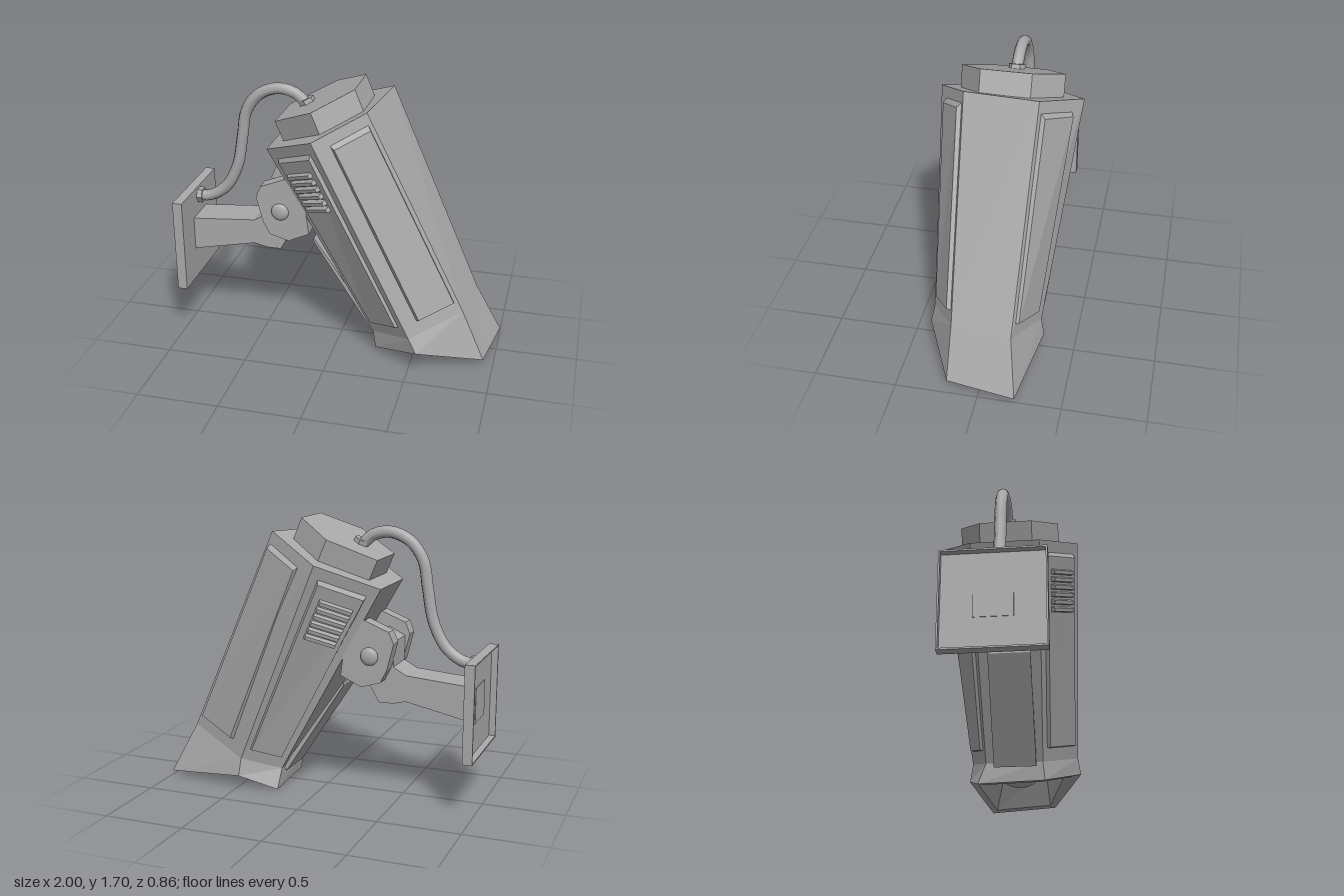
import * as THREE from 'three';

const grey = new THREE.MeshStandardMaterial({ color: 0xaaaaaa });
const V = (p) => new THREE.Vector3(...p);

function mesh(name, geometry, parent) {
  const m = new THREE.Mesh(geometry, grey);
  m.name = name;
  parent.add(m);
  return m;
}

// Flat-shaded skin through rings of points, closed at both ends
function loft(rings) {
  const pos = [];
  const tri = (...pts) => pts.forEach((p) => pos.push(p.x, p.y, p.z));
  const n = rings[0].length;
  for (let r = 0; r + 1 < rings.length; r++) {
    const a = rings[r], b = rings[r + 1];
    for (let i = 0; i < n; i++) {
      const j = (i + 1) % n;
      tri(a[i], a[j], b[j]);
      tri(a[i], b[j], b[i]);
    }
  }
  const first = rings[0], last = rings[rings.length - 1];
  for (let i = 1; i + 1 < n; i++) {
    tri(first[0], first[i + 1], first[i]);
    tri(last[0], last[i], last[i + 1]);
  }
  const g = new THREE.BufferGeometry();
  g.setAttribute('position', new THREE.Float32BufferAttribute(pos, 3));
  g.computeVertexNormals();
  return g;
}

// Ring scaled towards its centre
function shrink(ring, k, shift = new THREE.Vector3()) {
  const c = ring.reduce((s, p) => s.add(p), new THREE.Vector3()).divideScalar(ring.length);
  return ring.map((p) => p.clone().lerp(c, 1 - k).add(shift));
}

// Side profile in x/y, extruded from z0 to z1
function profile(points, z0, z1) {
  const shape = new THREE.Shape(points.map((p) => new THREE.Vector2(...p)));
  const g = new THREE.ExtrudeGeometry(shape, { depth: z1 - z0, bevelEnabled: false });
  return g.translate(0, 0, z0);
}

export function createModel() {
  const model = new THREE.Group();
  model.name = 'wallCamera';
  const housing = new THREE.Group();
  housing.name = 'housing';
  const mount = new THREE.Group();
  mount.name = 'mount';
  model.add(housing, mount);

  // Hexagonal housing: rear, neck and flared hood rings
  const rear = [[0.27, 1.62, -0.22], [0.2, 1.595, 0.23], [-0.08, 1.46, 0.43],
    [-0.41, 1.31, 0.21], [-0.41, 1.31, -0.21], [-0.08, 1.46, -0.43]].map(V);
  const neck = [[0.84, 0.35, -0.17], [0.8, 0.36, 0.195], [0.5, 0.23, 0.375],
    [0.24, 0.13, 0.17], [0.24, 0.13, -0.18], [0.47, 0.2, -0.29]].map(V);
  const hood = [[1, 0.03, -0.22], [0.94, 0.04, 0.2], [0.55, 0.14, 0.39],
    [0.26, 0.02, 0.18], [0.25, 0.005, -0.23], [0.48, 0.09, -0.31]].map(V);
  const forward = V([0.04, -0.09, 0]);
  mesh('body', loft([rear, neck, hood, shrink(hood, 0.85), shrink(neck, 0.76, forward)]), housing);

  // Lens dome inside the hood
  const lens = mesh('lens', new THREE.SphereGeometry(0.17, 24, 16), housing);
  lens.position.set(0.545, 0.24, 0);

  // Rear cap
  const capTop = [[0.11, 1.7, -0.15], [0.11, 1.7, 0.15], [-0.11, 1.595, 0.31],
    [-0.37, 1.47, 0.16], [-0.37, 1.47, -0.16], [-0.11, 1.595, -0.31]].map(V);
  const capBase = capTop.map((p) => p.clone().add(V([0.058, -0.14, 0])));
  mesh('rearCap', loft([capTop, capBase]), housing);

  // Patch of a housing face; u runs across it, v along it, h stands off it
  function patch(f, u0, u1, v0, v1, h) {
    const g = (f + 1) % 6;
    const at = (u, v) => rear[f].clone().lerp(rear[g], u).lerp(neck[f].clone().lerp(neck[g], u), v);
    const normal = at(1, 0.5).sub(at(0, 0.5)).cross(at(0.5, 1).sub(at(0.5, 0))).normalize();
    return [[u0, v0], [u1, v0], [u1, v1], [u0, v1]]
      .map(([u, v]) => at(u, v).addScaledVector(normal, h));
  }

  // Raised side panels, bevelled most at the rear end
  function panel(name, f, u0, u1, h) {
    const foot = patch(f, u0, u1, 0.035, 0.945, -0.02);
    const top = patch(f, u0 + 0.035, u1 - 0.035, 0.07, 0.935, h);
    mesh(name, loft([foot, top]), housing);
  }
  panel('upperPanelFront', 1, 0.05, 0.76, 0.025);
  panel('upperPanelBack', 5, 0.24, 0.95, 0.025);
  panel('lowerPanelFront', 2, 0.11, 0.88, 0.018);
  panel('lowerPanelBack', 4, 0.12, 0.89, 0.018);

  // Vent louvres on both lower panels
  for (const [name, f, u0, u1] of [['ventSlatFront', 2, 0.24, 0.78], ['ventSlatBack', 4, 0.22, 0.76]]) {
    for (let i = 0; i < 6; i++) {
      const v = 0.125 + i * 0.034;
      const foot = patch(f, u0, u1, v, v + 0.028, 0.005);
      const top = patch(f, u0 + 0.02, u1 - 0.02, v + 0.008, v + 0.024, 0.042);
      mesh(name, loft([foot, top]), housing);
    }
  }

  // Thin tongue under the housing
  mesh('underPlate', profile([[-0.15, 0.715], [-0.15, 0.69], [0.23, 0.1], [0.25, 0.13]], -0.13, 0.13), housing);

  // Wall plate: shallow tray open at the back
  const box = (name, w, h, d, x, y, z) =>
    mesh(name, new THREE.BoxGeometry(w, h, d), mount).position.set(x, y, z);
  box('wallPlate', 0.02, 0.59, 0.59, -0.95, 0.635, 0);
  for (const s of [-1, 1]) {
    box('plateRimSide', 0.06, 0.59, 0.01, -0.97, 0.635, s * 0.29);
    box('plateRimEnd', 0.06, 0.01, 0.59, -0.97, 0.635 + s * 0.29, 0);
  }

  // Arm with its centre knuckle
  mesh('arm', profile([[-0.966, 0.75], [-0.54, 0.785], [-0.46, 0.83], [-0.46, 0.98], [-0.36, 1.03],
    [-0.25, 0.98], [-0.23, 0.84], [-0.3, 0.73], [-0.37, 0.605], [-0.46, 0.605], [-0.54, 0.625],
    [-0.966, 0.535]], -0.11, 0.11), mount);

  // Clevis ears and bolts
  const ear = [[-0.49, 0.99], [-0.46, 1.06], [-0.31, 1.12], [-0.2, 1.08], [-0.16, 0.775],
    [-0.29, 0.715], [-0.41, 0.75], [-0.45, 0.83]];
  for (const s of [-1, 1]) {
    mesh('ear', profile(ear, s > 0 ? 0.115 : -0.205, s > 0 ? 0.205 : -0.115), mount);
    const bolt = mesh('bolt', new THREE.SphereGeometry(0.055, 16, 10), mount);
    bolt.scale.z = 0.45;
    bolt.position.set(-0.34, 0.905, s * 0.205);
  }

  // Cable with a nut at each end
  const path = new THREE.CatmullRomCurve3([[-0.95, 0.87, 0], [-0.86, 0.875, 0], [-0.75, 0.95, 0],
    [-0.67, 1.1, 0], [-0.63, 1.3, 0], [-0.6, 1.46, 0], [-0.52, 1.57, 0], [-0.4, 1.62, 0],
    [-0.29, 1.6, 0], [-0.21, 1.53, 0]].map(V));
  mesh('cable', new THREE.TubeGeometry(path, 36, 0.036, 8), mount);
  const nut = (name, x, y, angle) => {
    const g = new THREE.CylinderGeometry(0.05, 0.05, 0.045, 6).toNonIndexed();
    g.computeVertexNormals();
    const m = mesh(name, g, mount);
    m.position.set(x, y, 0);
    m.rotation.z = angle;
  };
  nut('wallNut', -0.93, 0.87, Math.PI / 2);
  nut('capNut', -0.215, 1.55, 0.43);

  return model;
}
